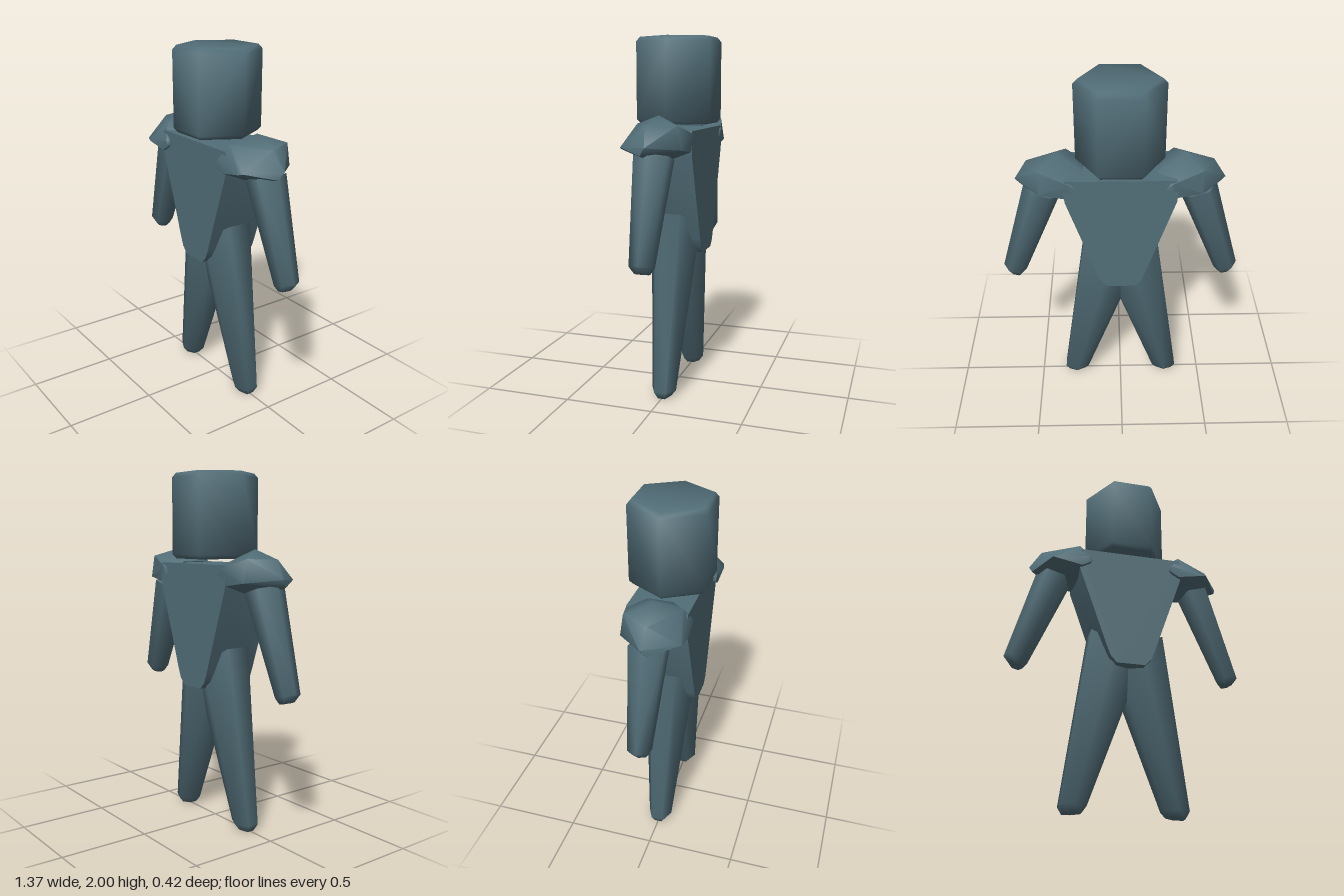
import * as THREE from 'three';
import { toCreasedNormals } from 'three/addons/utils/BufferGeometryUtils.js';
import { ConvexGeometry } from 'three/addons/geometries/ConvexGeometry.js';

const slate = new THREE.MeshStandardMaterial({ color: 0x526e78 });
slate.name = 'slate';

// Closed convex block through a set of [x, y, z] corners
function block(name, points, crease) {
  const hull = new ConvexGeometry(points.map(p => new THREE.Vector3(...p)));
  const mesh = new THREE.Mesh(toCreasedNormals(hull, crease), slate);
  mesh.name = name;
  return mesh;
}

// Six-sided cross-section; tilt raises it towards +x, turn rotates the corners
function hexRing(x, y, rx, rz, tilt = 0, turn = 0) {
  const ring = [];
  for (let i = 0; i < 6; i++) {
    const a = turn + i * Math.PI / 3;
    const dx = rx * Math.cos(a);
    ring.push([x + dx, y + tilt * dx, rz * Math.sin(a)]);
  }
  return ring;
}

const mirrored = (points, side) => points.map(([x, y, z]) => [x * side, y, z]);

export function createModel() {
  const model = new THREE.Group();
  model.name = 'figure';

  // Hexagonal head with bevelled rims
  model.add(block('head', [
    ...hexRing(0, 1.527, 0.218, 0.222),
    ...hexRing(0, 1.55, 0.243, 0.243),
    ...hexRing(0, 1.975, 0.243, 0.243),
    ...hexRing(0, 2.0, 0.218, 0.222),
  ], 1.2));

  // Wedge torso: profile mirrored in x and given depth in z
  const torsoProfile = [[0.295, 1.5], [0.308, 1.45], [0.3, 1.37], [0.135, 0.89], [0.115, 0.84], [0.08, 0.803]];
  const torso = [];
  for (const side of [-1, 1]) {
    for (const [x, y] of torsoProfile) torso.push([x * side, y, 0.166], [x * side, y, -0.166]);
  }
  model.add(block('torso', torso, 0.6));

  // Domed shoulder pad corners for the left side
  const shoulder = [
    [0.35, 1.583, 0], [0.2, 1.505, 0.06], [0.2, 1.505, -0.08],
    [0.51, 1.53, 0.02], [0.44, 1.535, -0.13], [0.3, 1.535, 0.14],
    [0.577, 1.43, 0], [0.56, 1.387, 0.03], [0.52, 1.4, 0.08],
    [0.46, 1.42, 0.175], [0.43, 1.41, 0.183], [0.25, 1.45, 0.183], [0.237, 1.415, 0.18],
    [0.29, 1.385, 0.18], [0.44, 1.41, -0.15], [0.27, 1.48, -0.175],
    [0.235, 1.44, -0.165], [0.3, 1.39, -0.16], [0.33, 1.32, 0.02],
  ];

  // Tapered arm, corners pointing outwards
  const arm = [
    ...hexRing(0.43, 1.37, 0.101, 0.11, 0.3),
    ...hexRing(0.62, 0.832, 0.066, 0.068, 0.25),
    ...hexRing(0.615, 0.793, 0.035, 0.042, 0.25),
  ];

  // Tapered leg, flat side outwards, with a sloping hip
  const flat = Math.PI / 6;
  const leg = [
    ...hexRing(0.065, 0.94, 0.167, 0.146, 0.66, flat),
    ...hexRing(0.279, 0.04, 0.083, 0.07, 0, flat),
    ...hexRing(0.28, 0.004, 0.058, 0.042, -0.08, flat),
  ];

  for (const side of [-1, 1]) {
    const label = side > 0 ? 'left' : 'right';
    model.add(block(label + 'Shoulder', mirrored(shoulder, side), 1.0));
    model.add(block(label + 'Arm', mirrored(arm, side), 1.2));
    model.add(block(label + 'Leg', mirrored(leg, side), 1.2));
  }
  return model;
}
